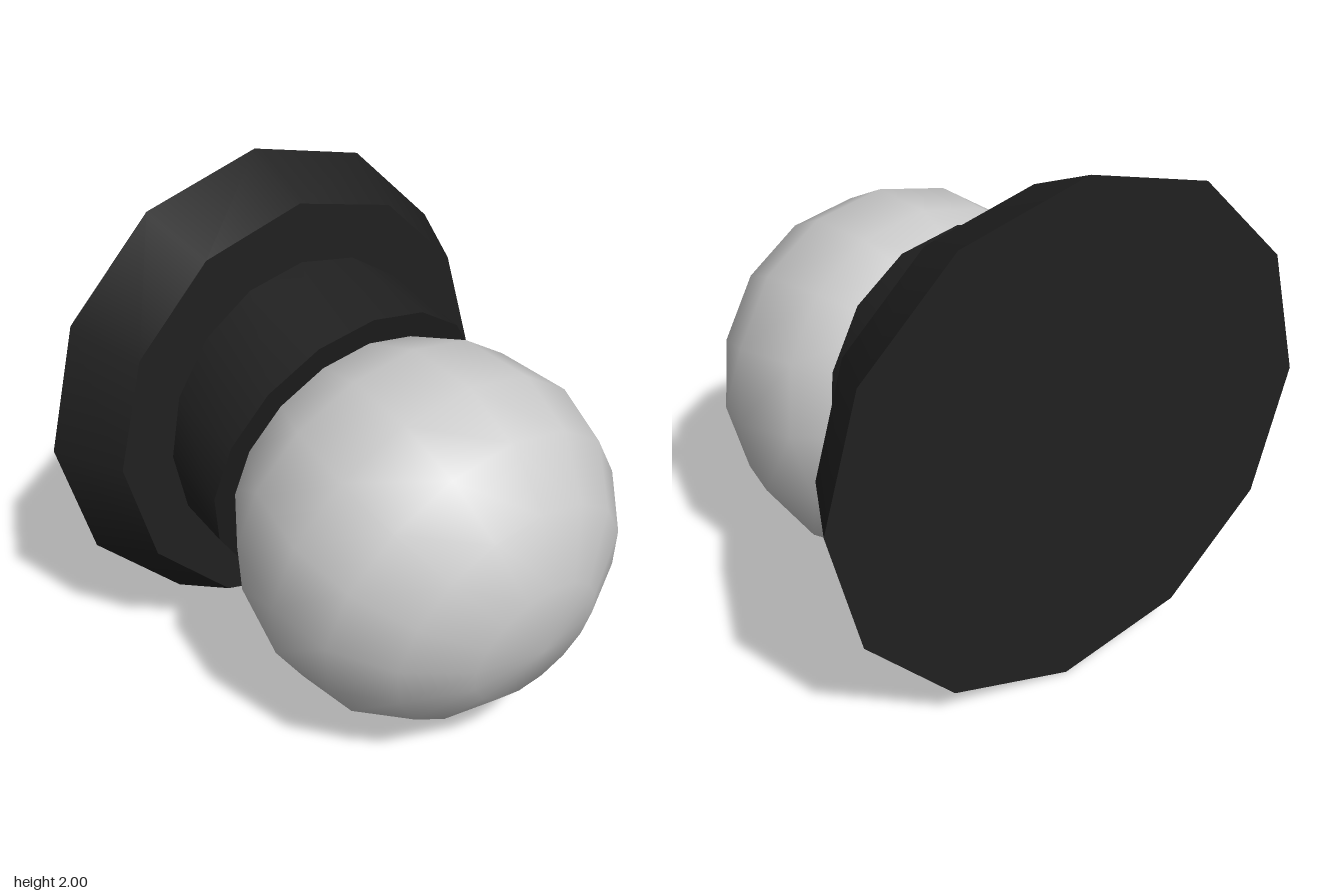
import * as THREE from 'three';

const TILT = THREE.MathUtils.degToRad(15); // the lamp looks slightly downwards

// Move every vertex of a geometry by a rule, then refresh the normals
function reshape(geometry, rule) {
  const pos = geometry.attributes.position;
  const v = new THREE.Vector3();
  for (let i = 0; i < pos.count; i++) {
    rule(v.fromBufferAttribute(pos, i));
    pos.setXYZ(i, v.x, v.y, v.z);
  }
  geometry.computeVertexNormals();
  return geometry;
}

export function createModel() {
  const group = new THREE.Group();
  const dark = new THREE.MeshStandardMaterial({ color: 0x202020 });
  const grey = new THREE.MeshStandardMaterial({ color: 0xcccccc });

  function add(name, geometry, material) {
    const mesh = new THREE.Mesh(geometry, material);
    mesh.name = name;
    group.add(mesh);
    return mesh;
  }

  // Wall plate: a twelve-sided disc with a bevelled rim
  const plate = new THREE.CylinderGeometry(0.865, 1, 0.295, 12).rotateX(Math.PI / 2);
  add('wallPlate', plate, dark).position.set(0, 1, -0.735);

  // Collar: upright ring on the plate, tilted ring at the open end
  const collar = new THREE.CylinderGeometry(0.643, 0.643, 1, 16).rotateX(Math.PI / 2);
  reshape(collar, (v) => {
    if (v.z > 0) {
      v.z = -0.3 + v.y * Math.sin(TILT);
      v.y = 0.925 + v.y * Math.cos(TILT);
    } else {
      v.z = -0.59;
      v.y += 0.979;
    }
  });
  add('collar', collar, dark);

  // Globe: flattened towards the front, drawn out towards the collar
  const globe = new THREE.SphereGeometry(0.75, 16, 8);
  const normals = globe.attributes.normal.clone();
  reshape(globe, (v) => { v.y *= v.y > 0 ? 0.883 : 1.075; });
  globe.setAttribute('normal', normals); // keep the globe smooth across its seam
  globe.rotateX(Math.PI / 2 + TILT);
  add('globe', globe, grey).position.set(0, 0.768, 0.22);

  return group;
}
